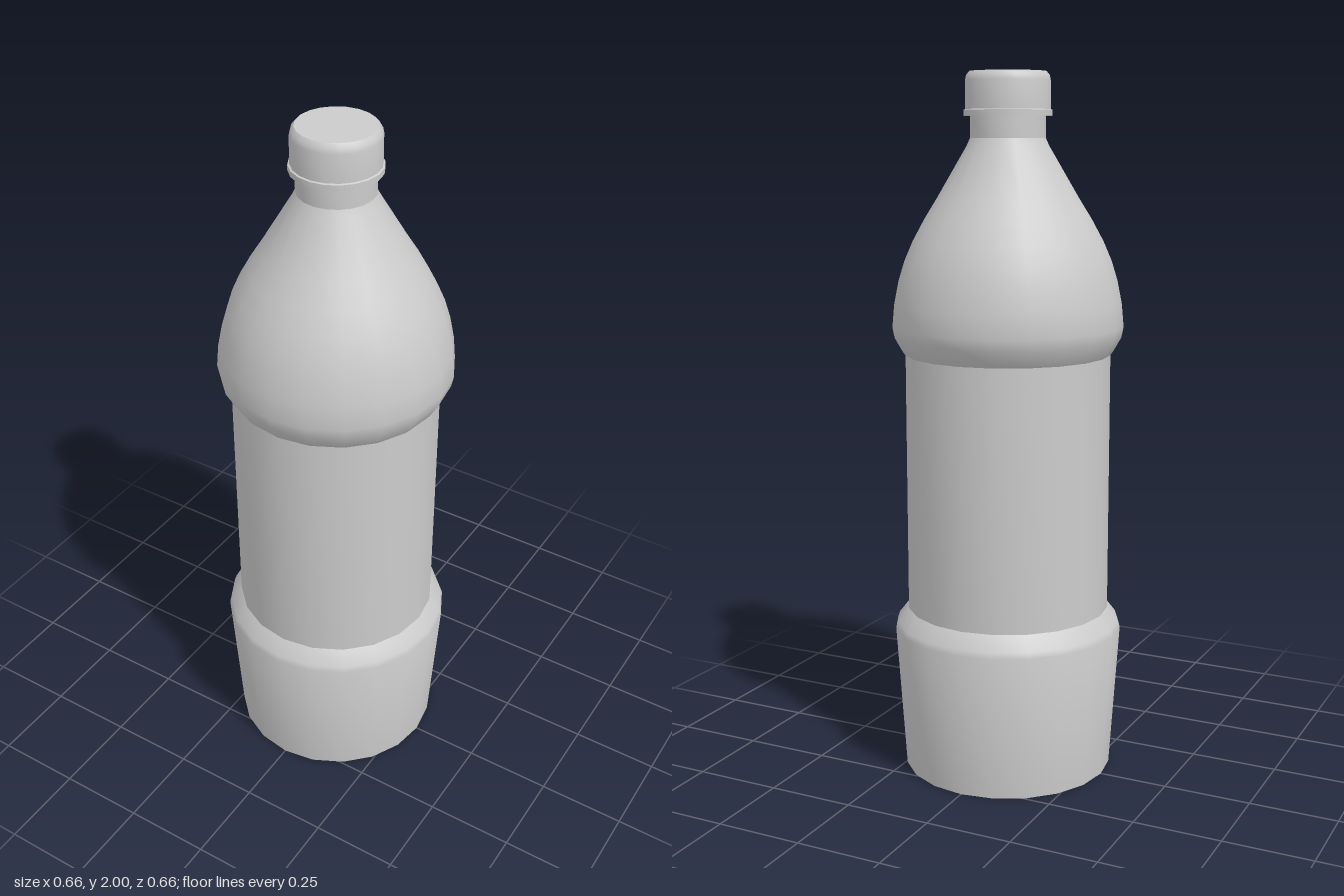
import * as THREE from 'three';
import { toCreasedNormals } from 'three/addons/utils/BufferGeometryUtils.js';

const SIDES = 20;

export function createModel() {
  const group = new THREE.Group();
  group.name = 'bottle';
  const material = new THREE.MeshStandardMaterial({ color: 0xcccccc });

  // Turn a [radius, height] profile, listed bottom to top, around the y axis
  function turn(name, profile, crease = 0.65) {
    const points = profile.map(([r, y]) => new THREE.Vector2(r, y));
    const geometry = toCreasedNormals(new THREE.LatheGeometry(points, SIDES), crease);
    const mesh = new THREE.Mesh(geometry, material);
    mesh.name = name;
    group.add(mesh);
  }

  // Closed, tapered foot with a bevel up to the sleeve
  turn('base', [[0, 0], [0.302, 0], [0.33, 0.42], [0.324, 0.437], [0.292, 0.478]]);

  // Straight, recessed middle
  turn('labelSleeve', [[0.292, 0.478], [0.292, 1.22]]);

  // Rounded shoulder narrowing to the neck
  turn('shoulder', [
    [0.292, 1.22], [0.3, 1.231], [0.322, 1.27], [0.328, 1.3], [0.322, 1.365],
    [0.309, 1.43], [0.292, 1.485], [0.268, 1.54], [0.235, 1.6],
    [0.2, 1.656], [0.115, 1.8], [0.106, 1.82],
  ]);

  turn('neck', [[0.106, 1.82], [0.106, 1.89]]);

  // Screw cap with a thin lip at the bottom and a softened top edge
  turn('cap', [
    [0.1, 1.88], [0.124, 1.88], [0.124, 1.896], [0.119, 1.898],
    [0.119, 1.975], [0.116, 1.989], [0.107, 2], [0, 2],
  ]);

  return group;
}
